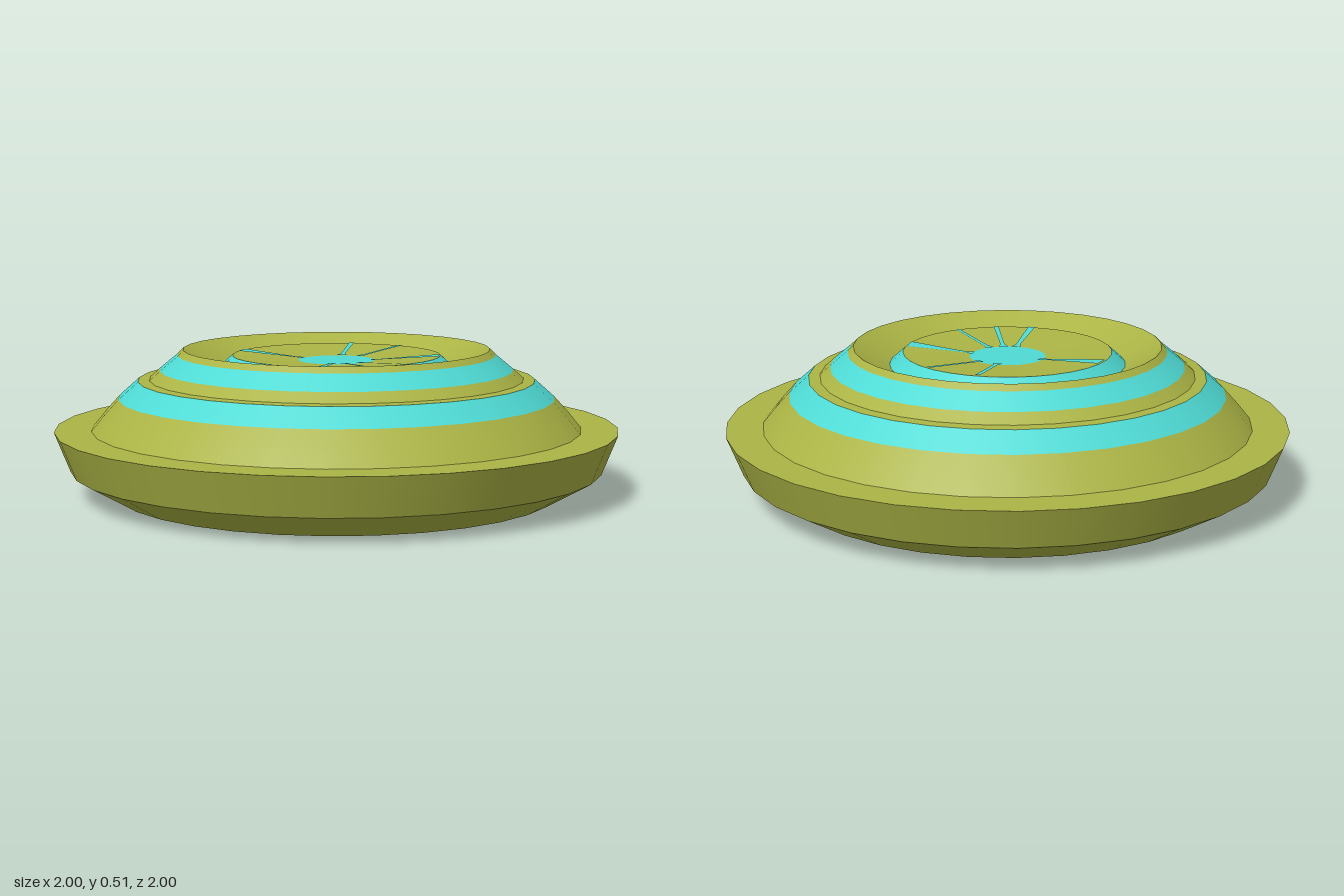
import * as THREE from 'three';

const SIDES = 32;
const HUB_R = 0.135, HUB_Y = 0.467, DISH_R = 0.37, DISH_Y = 0.486;

export function createModel() {
  const model = new THREE.Group();
  model.name = 'layeredDisc';
  const olive = new THREE.MeshStandardMaterial({ color: 0xabb445 });
  olive.name = 'olive';
  const teal = new THREE.MeshStandardMaterial({ color: 0x4fdad4 });
  teal.name = 'teal';

  const add = (name, geometry, material) => {
    const mesh = new THREE.Mesh(geometry, material);
    mesh.name = name;
    model.add(mesh);
  };

  // Turned bands, from the underside centre outwards, over the rim and in to the hub
  const bands = [
    ['undersideHub', teal, [[0, 0], [0.24, 0]]],
    ['underside', olive, [[0.24, 0], [0.735, 0]]],
    ['undersideRing', teal, [[0.735, 0], [0.79, 0]]],
    ['lowerBevel', olive, [[0.79, 0], [0.945, 0.09]]],
    ['outerWall', olive, [[0.945, 0.09], [1, 0.23]]],
    ['flange', olive, [[1, 0.23], [0.87, 0.23]]],
    ['lowerDome', olive, [[0.87, 0.23], [0.825, 0.285], [0.775, 0.34]]],
    ['lowerStripe', teal, [[0.775, 0.34], [0.705, 0.402]]],
    ['step', olive, [[0.705, 0.402], [0.665, 0.405]]],
    ['upperDome', olive, [[0.665, 0.405], [0.628, 0.438]]],
    ['upperStripe', teal, [[0.628, 0.438], [0.565, 0.49]]],
    ['topLip', olive, [[0.565, 0.49], [0.545, 0.51]]],
    ['bowl', olive, [[0.545, 0.51], [0.418, 0.443]]],
    ['innerRing', teal, [[0.418, 0.443], [DISH_R, DISH_Y]]],
    ['dish', olive, [[DISH_R, DISH_Y], [HUB_R, HUB_Y]]],
    ['hub', teal, [[HUB_R, HUB_Y], [0, 0.468]]],
  ];
  for (const [name, material, profile] of bands) {
    const points = profile.map(([r, y]) => new THREE.Vector2(r, y));
    add(name, new THREE.LatheGeometry(points, SIDES), material);
  }

  // Painted spokes: end position on the dish (x, z) and width at the tip
  const spokes = [
    [0.03, -0.365, 0.018], [-0.165, -0.325, 0.018], [0.325, -0.178, 0.07],
    [0.35, 0.105, 0.014], [0.28, 0.237, 0.018], [0.175, 0.32, 0.026],
    [-0.353, 0.1, 0.065],
  ];
  for (const [x, z, width] of spokes) {
    add('spoke', spokeGeometry(Math.atan2(z, x), width), teal);
  }
  return model;
}

// Thin strip lying on the dish, slightly flared where it meets the hub
function spokeGeometry(angle, tipWidth) {
  const c = Math.cos(angle), s = Math.sin(angle);
  const sections = [[0.125, 0.035], [0.155, 0.016], [0.2, 0.012 + tipWidth * 0.2], [0.365, tipWidth]];
  const positions = [], index = [];
  sections.forEach(([r, w], i) => {
    const t = (r - HUB_R) / (DISH_R - HUB_R);
    const y = HUB_Y + Math.max(t, 0) * (DISH_Y - HUB_Y) + 0.003;
    for (const side of [-w / 2, w / 2]) positions.push(c * r - s * side, y, s * r + c * side);
    if (i > 0) {
      const a = 2 * (i - 1);
      index.push(a, a + 1, a + 2, a + 1, a + 3, a + 2);
    }
  });
  const geometry = new THREE.BufferGeometry();
  geometry.setAttribute('position', new THREE.Float32BufferAttribute(positions, 3));
  geometry.setIndex(index);
  geometry.computeVertexNormals();
  return geometry;
}
